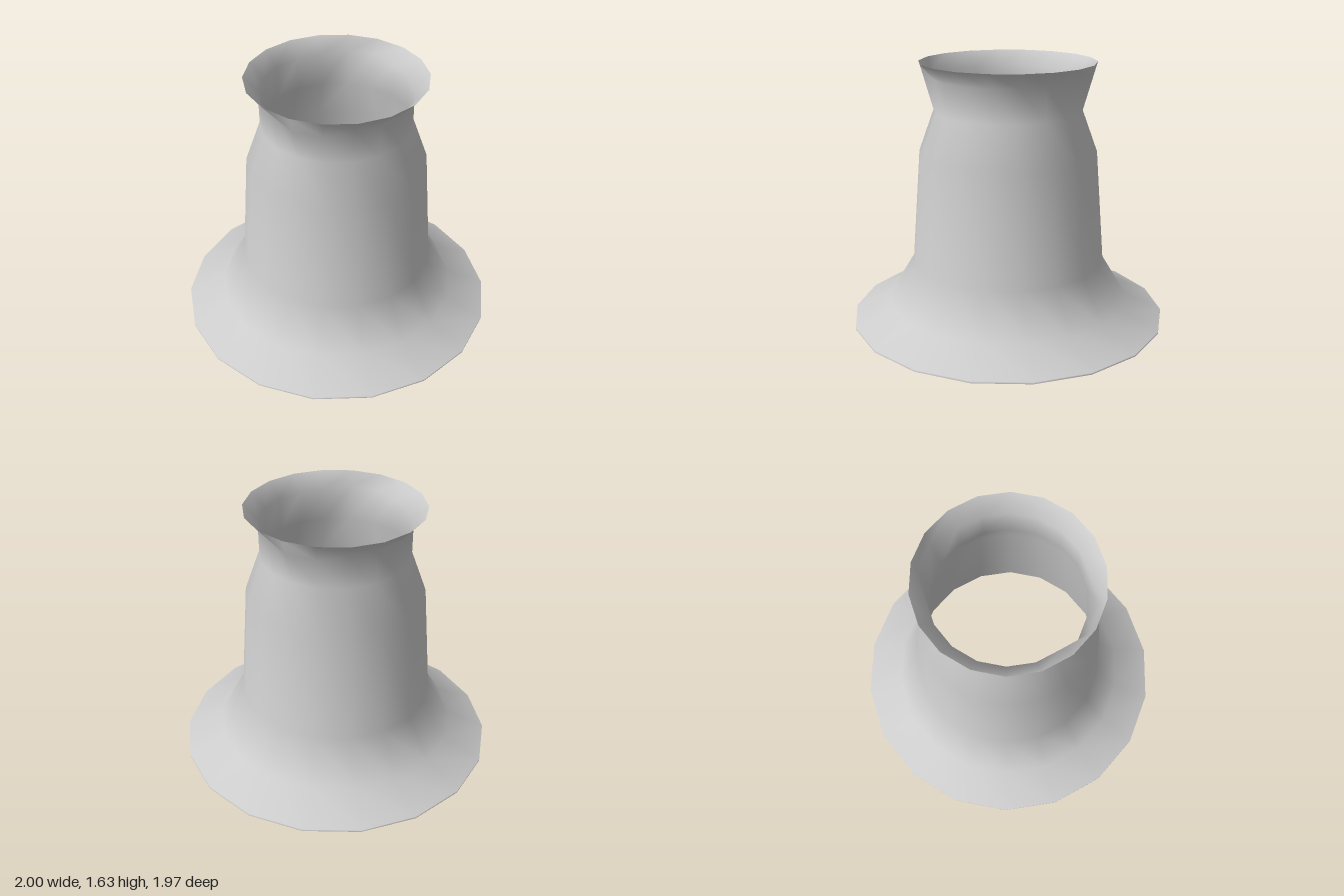
import * as THREE from 'three';
import { mergeVertices } from 'three/addons/utils/BufferGeometryUtils.js';

const SIDES = 18;
const LIP_Y = 1.54;

// Radius and height of each ring, from the foot to the mouth
const PROFILE = [
  [1.0, 0], [1.0, 0.012], [0.765, 0.122], [0.61, 0.38],
  [0.555, 1.075], [0.46, 1.335], [0.46, LIP_Y], [0.545, 1.635],
];

export function createModel() {
  const group = new THREE.Group();
  group.name = 'flaredSleeve';

  // Thin open wall, turned so that corners lie on the x axis
  const points = PROFILE.map(([r, y]) => new THREE.Vector2(r, y));
  let geometry = new THREE.LatheGeometry(points, SIDES, Math.PI / SIDES);

  // At the front and back the wall runs straight from neck to mouth
  const pos = geometry.attributes.position;
  for (let i = 0; i < pos.count; i++) {
    const x = pos.getX(i), z = pos.getZ(i);
    if (Math.abs(pos.getY(i) - LIP_Y) < 0.001 && Math.abs(x) < 0.1) {
      const k = 0.518 / Math.hypot(x, z);
      pos.setX(i, x * k);
      pos.setZ(i, z * k);
    }
  }

  // Weld the seam for smooth shading all round
  geometry.deleteAttribute('normal');
  geometry.deleteAttribute('uv');
  geometry = mergeVertices(geometry, 1e-4);
  geometry.computeVertexNormals();

  const wall = new THREE.Mesh(
    geometry,
    new THREE.MeshStandardMaterial({ color: 0xcccccc, side: THREE.DoubleSide })
  );
  wall.name = 'flaredWall';
  group.add(wall);
  return group;
}
